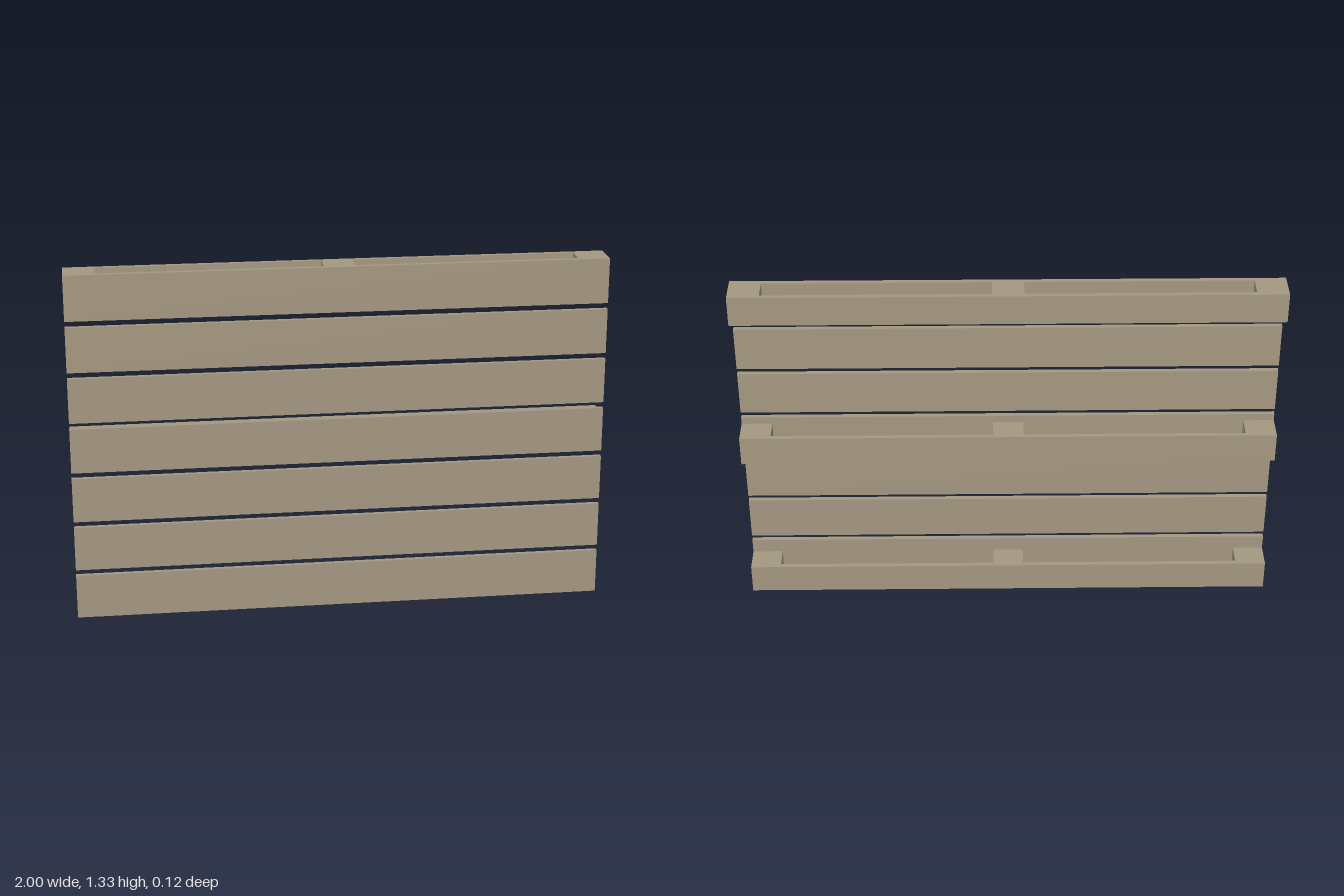
import * as THREE from 'three';

export function createModel() {
  const model = new THREE.Group();
  const wood = new THREE.MeshStandardMaterial({ color: 0xa39780 });

  const width = 2, height = 1.333, depth = 0.118;
  const board = 0.018;          // board thickness
  const slatHeight = 0.171, slatCount = 7;
  const block = 0.115;          // block width and runner height

  function addBox(parent, name, w, h, d, x, y, z) {
    const mesh = new THREE.Mesh(new THREE.BoxGeometry(w, h, d), wood);
    mesh.name = name;
    mesh.position.set(x, y, z);
    parent.add(mesh);
  }

  // Front deck: evenly spaced slats
  const deck = new THREE.Group();
  deck.name = 'deck';
  const pitch = (height - slatHeight) / (slatCount - 1);
  for (let i = 0; i < slatCount; i++) {
    addBox(deck, 'slat', width, slatHeight, board, 0, slatHeight / 2 + i * pitch, (depth - board) / 2);
  }
  model.add(deck);

  // Three runners: a back board held off the deck by three blocks
  for (const y of [block / 2, height / 2, height - block / 2]) {
    const runner = new THREE.Group();
    runner.name = 'runner';
    addBox(runner, 'backBoard', width, block, board, 0, y, -(depth - board) / 2);
    for (const side of [-1, 0, 1]) {
      addBox(runner, 'spacerBlock', block, block, depth - 2 * board, side * (width - block) / 2, y, 0);
    }
    model.add(runner);
  }

  return model;
}
